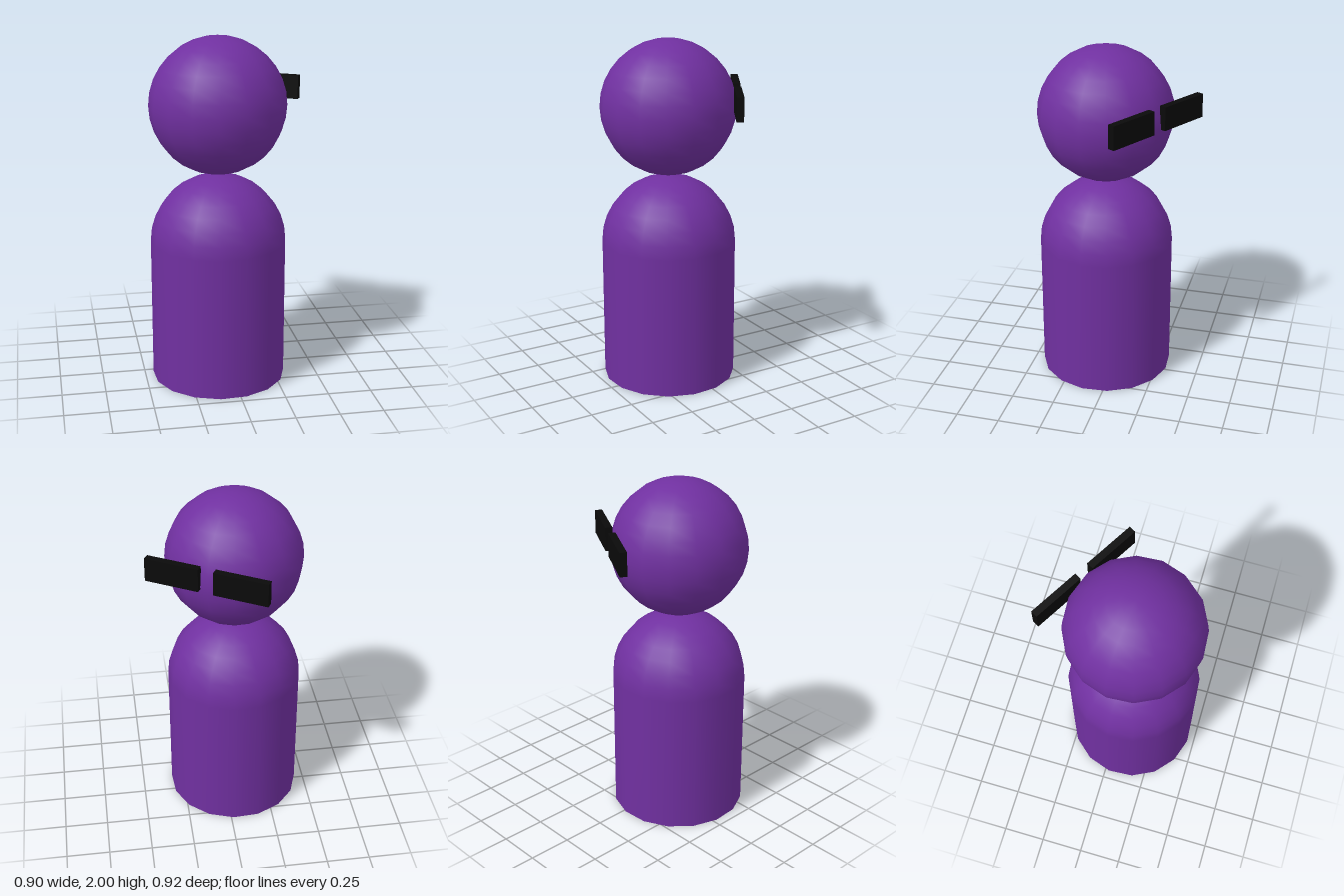
import * as THREE from 'three';

const R = 0.388;      // shared radius of head and body
const SIDES = 16;
const SHOULDER = 0.825; // height where the dome starts

export function createModel() {
  const model = new THREE.Group();
  const purple = new THREE.MeshStandardMaterial({ color: 0x7030a0 });
  const black = new THREE.MeshStandardMaterial({ color: 0x0a0a0a });

  const add = (name, geometry, material, x, y, z) => {
    const mesh = new THREE.Mesh(geometry, material);
    mesh.name = name;
    mesh.position.set(x, y, z);
    model.add(mesh);
    return mesh;
  };

  // Body: straight wall running into a round dome
  const profile = [new THREE.Vector2(R, 0)];
  for (let i = 0; i <= 8; i++) {
    const a = (i / 8) * Math.PI / 2;
    profile.push(new THREE.Vector2(i === 8 ? 0 : R * Math.cos(a), SHOULDER + R * Math.sin(a)));
  }
  add('body', new THREE.LatheGeometry(profile, SIDES), purple, 0, 0, 0);

  // Flat underside
  add('base', new THREE.CircleGeometry(R, SIDES).rotateX(Math.PI / 2), purple, 0, 0, 0);

  // Head
  add('head', new THREE.SphereGeometry(R, SIDES, 16), purple, 0, 2 - R, 0);

  // Pair of dark lenses on the face
  for (const side of [-1, 1]) {
    add(side < 0 ? 'rightLens' : 'leftLens', new THREE.BoxGeometry(0.31, 0.136, 0.041), black,
      side * 0.198, 1.668, -0.389);
  }

  // The figure is turned and set so that its bounds are centred
  model.rotation.y = -Math.PI / 6;
  model.position.set(-0.065, 0, 0.075);
  const root = new THREE.Group();
  model.name = 'figure';
  root.add(model);
  return root;
}
